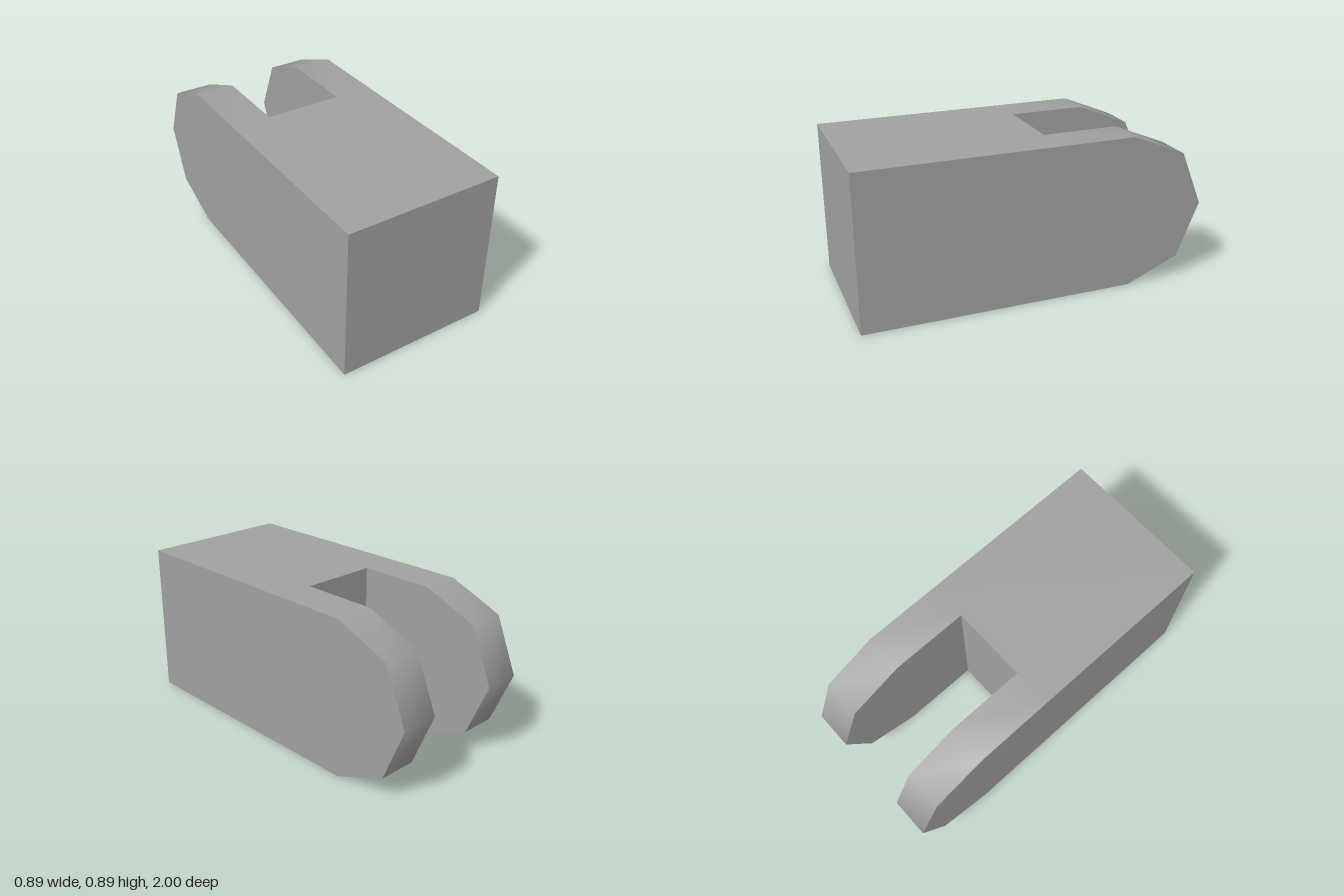
import * as THREE from 'three';
import { toCreasedNormals } from 'three/addons/utils/BufferGeometryUtils.js';

const R = 0.4445;        // half height and half width
const SLOT = 0.2222;     // half width of the slot
const SLOT_Z = -0.111;   // floor of the slot
const PIVOT_Z = -0.5555; // centre of the rounded ends

export function createModel() {
  const grey = new THREE.MeshStandardMaterial({ color: 0xa0a0a0 });
  grey.name = 'grey';
  const group = new THREE.Group();
  group.name = 'clevis';

  // Solid square block
  const length = 1 - SLOT_Z;
  const block = new THREE.Mesh(new THREE.BoxGeometry(2 * R, 2 * R, length), grey);
  block.name = 'block';
  block.position.set(0, R, SLOT_Z + length / 2);
  group.add(block);

  // Side profile of a prong (profile x runs towards the back), four facets round the tip
  const profile = new THREE.Shape();
  profile.moveTo(-SLOT_Z, 0);
  for (let i = 0; i <= 4; i++) {
    const a = -Math.PI / 2 + (i * Math.PI) / 4;
    profile.lineTo(-PIVOT_Z + R * Math.cos(a), R + R * Math.sin(a));
  }
  profile.lineTo(-SLOT_Z, 2 * R);
  profile.closePath();

  // Smooth around the tip, sharp at the sides
  const prongGeometry = toCreasedNormals(
    new THREE.ExtrudeGeometry(profile, { depth: R - SLOT, bevelEnabled: false }).rotateY(Math.PI / 2),
    THREE.MathUtils.degToRad(60)
  );
  for (const [name, x] of [['rightProng', -R], ['leftProng', SLOT]]) {
    const prong = new THREE.Mesh(prongGeometry, grey);
    prong.name = name;
    prong.position.x = x;
    group.add(prong);
  }
  return group;
}
